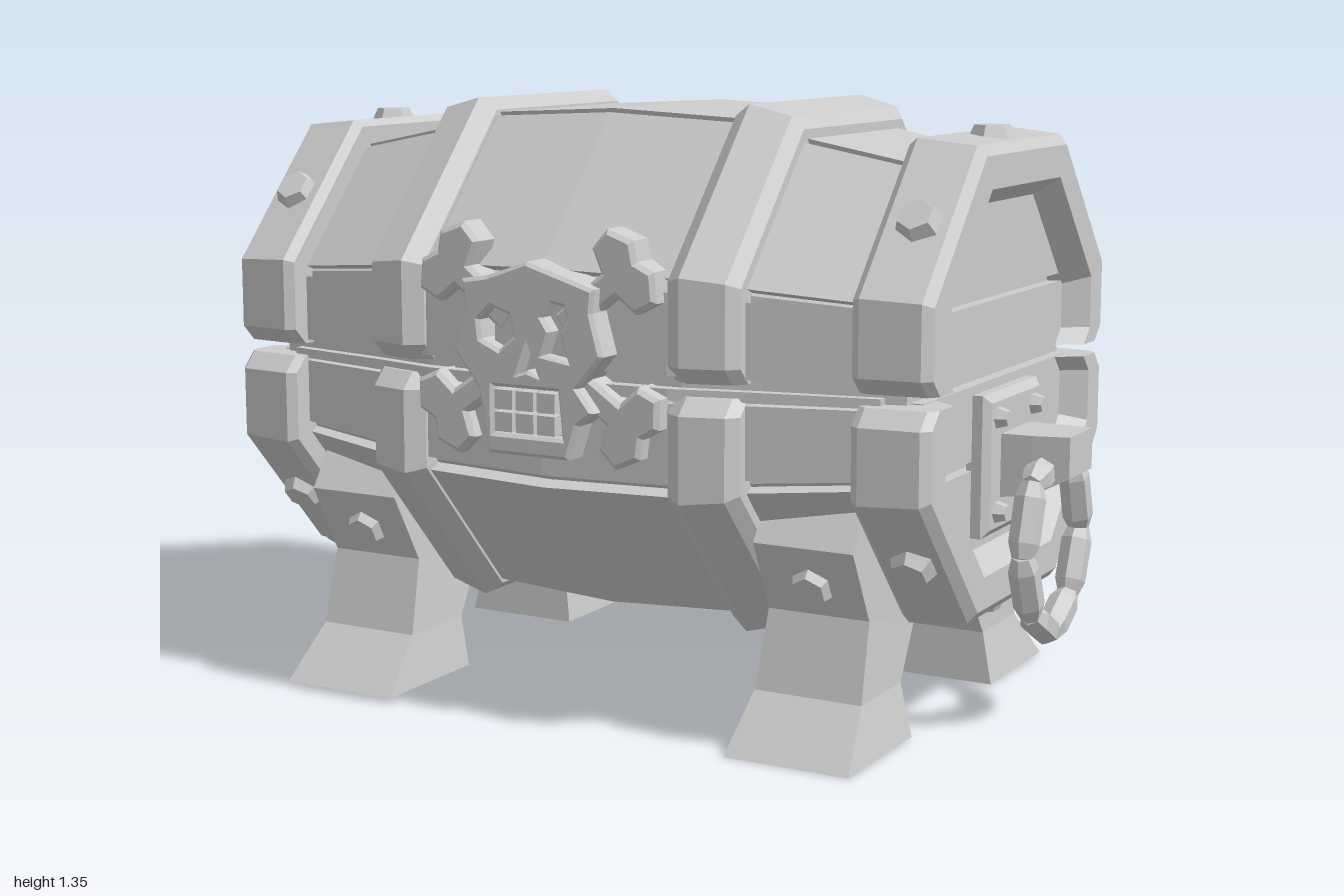
import * as THREE from 'three';

const stone = new THREE.MeshStandardMaterial({ color: 0xcccccc, flatShading: true });
stone.name = 'plainGrey';
const YC = 0.775, ZC = -0.02; // barrel axis

// Solid skinned over a row of equal-length cross-sections, turned outward by its signed volume
function loft(sections) {
  const tris = [], n = sections[0].length;
  for (let s = 0; s < sections.length - 1; s++) {
    for (let i = 0; i < n; i++) {
      const j = (i + 1) % n, A = sections[s], B = sections[s + 1];
      tris.push([A[i], A[j], B[j]], [A[i], B[j], B[i]]);
    }
  }
  const first = sections[0], last = sections[sections.length - 1];
  for (let i = 1; i < n - 1; i++) {
    tris.push([first[0], first[i + 1], first[i]], [last[0], last[i], last[i + 1]]);
  }
  const V = (p) => new THREE.Vector3(...p);
  const volume = tris.reduce((v, [a, b, c]) => v + V(a).dot(V(b).cross(V(c))), 0);
  const flat = tris.flatMap(([a, b, c]) => (volume < 0 ? [a, c, b] : [a, b, c])).flat();
  const g = new THREE.BufferGeometry();
  g.setAttribute('position', new THREE.Float32BufferAttribute(flat, 3));
  g.computeVertexNormals();
  return g;
}

// Octagon of apothem 1 as [z, y], starting at the lower front corner
const F = 0.487, W = 1.026, H = 0.409;
const OCT = [[W, -H], [W, H], [F, 1], [-F, 1], [-W, H], [-W, -H], [-F, -1], [F, -1]];
const halfWidth = (y, a) => (Math.abs(y) < H * a ? W * a
  : THREE.MathUtils.mapLinear(Math.abs(y), H * a, a, W * a, F * a));

export function createModel() {
  const root = new THREE.Group();
  root.name = 'barrelChest';
  const barrel = new THREE.Group();
  barrel.name = 'barrel';
  barrel.position.set(0, YC, ZC);
  root.add(barrel);

  const add = (name, geo, parent = barrel) => {
    const m = new THREE.Mesh(geo, stone);
    m.name = name;
    parent.add(m);
    return m;
  };
  const box = (name, w, h, d, x, y, z, parent) => {
    const m = add(name, new THREE.BoxGeometry(w, h, d), parent);
    m.position.set(x, y, z);
    return m;
  };
  const bolt = (name, pos, normal, r = 0.06, h = 0.045) => {
    const m = add(name, new THREE.CylinderGeometry(r * 0.65, r, h, 6));
    m.position.set(...pos);
    m.quaternion.setFromUnitVectors(new THREE.Vector3(0, 1, 0), new THREE.Vector3(...normal).normalize());
  };

  // Bulging core and raised staves
  const bulge = [[-0.74, 0.45], [-0.46, 0.505], [-0.3, 0.545], [0, 0.56], [0.3, 0.545], [0.46, 0.505], [0.74, 0.45]];
  add('core', loft(bulge.map(([x, r]) => OCT.map(([z, y]) => [x * 1.06, y * (r - 0.03), z * (r - 0.03)]))));
  for (let i = 0; i < 8; i++) {
    const a = OCT[i], b = OCT[(i + 1) % 8];
    const at = (f) => [a[0] + (b[0] - a[0]) * f, a[1] + (b[1] - a[1]) * f];
    let spans = [[0.02, 0.975]];
    if (i === 0) spans = [[0.05, 0.43], [0.445, 0.5], [0.56, 0.95]];
    if (i === 4) spans = [[0.05, 0.44], [0.5, 0.555], [0.57, 0.95]];
    for (const [f0, f1] of spans) {
      add('stave', loft(bulge.map(([x, r]) => [[f0, r], [f1, r], [f1, r - 0.05], [f0, r - 0.05]]
        .map(([f, k]) => [x, at(f)[1] * k, at(f)[0] * k]))));
    }
  }

  // Half hoops for lid and base, chamfered where they meet
  function hoop(name, profile, side) {
    for (const up of [1, -1]) {
      const row = (z, y, shrink, fixedY) => profile.map(([x, r]) =>
        [side * x, up * (fixedY ?? y * r), z * (r - shrink)]);
      add(name + (up > 0 ? 'Upper' : 'Lower'), loft([
        row(W, 0, 0.035, 0.014), row(W, 0, 0, 0.05),
        ...[[W, H], [F, 1], [-F, 1], [-W, H]].map(([z, y]) => row(z, y, 0)),
        row(-W, 0, 0, 0.05), row(-W, 0, 0.035, 0.014),
      ]));
    }
  }

  for (const s of [1, -1]) {
    hoop('middleHoop', [[0.3, 0.49], [0.305, 0.55], [0.345, 0.577], [0.44, 0.553], [0.462, 0.525], [0.462, 0.46]], s);
    hoop('endHoop', [[0.7, 0.38], [0.7, 0.5], [0.72, 0.515], [0.85, 0.502], [0.868, 0.48], [0.868, 0.41], [0.795, 0.36]], s);

    // End boards
    for (const [y0, y1] of [[-0.4, -0.195], [-0.175, -0.012], [0.012, 0.16], [0.178, 0.4]]) {
      add('endBoard', loft([0.74, 0.812].map((x) => [[y0, -1], [y0, 1], [y1, 1], [y1, -1]]
        .map(([y, k]) => [s * x, y, k * halfWidth(y, 0.4)]))));
    }

    // Hoop bolts
    for (const u of [1, -1]) {
      bolt('hoopBolt', [s * 0.785, u * 0.51, 0], [0, u, 0]);
      for (const k of [1, -1]) bolt('hoopBolt', [s * 0.785, u * 0.357, k * 0.39], [0, u * 0.674, k * 0.739]);
    }

    // Splayed legs with a bolt each
    for (const k of [1, -1]) {
      const levels = [ // outer y, z; inner y, z; x range
        [0, 0.548, 0, 0.228, 0.43, 0.72], [0.12, 0.435, 0.12, 0.235, 0.445, 0.695],
        [0.29, 0.39, 0.25, 0.15, 0.455, 0.69], [0.45, 0.475, 0.56, 0.4, 0.46, 0.69],
      ];
      add('leg', loft(levels.map(([yo, zo, yi, zi, x0, x1]) => [
        [s * x0, yo - YC, k * zo], [s * x1, yo - YC, k * zo],
        [s * x1, yi - YC, k * zi], [s * x0, yi - YC, k * zi]])));
      bolt('legBolt', [s * 0.575, 0.36 - YC, k * 0.425], [0, -0.45, k * 0.85], 0.058);
    }

    // Handle: plate, bolts, bracket and a ring of chunky links
    const py = 0.588 - YC, pz = -0.01;
    const rect = (x, y, hw, hh) => [[-1, -1], [1, -1], [1, 1], [-1, 1]].map(([a, b]) => [s * x, y + b * hh, pz + a * hw]);
    add('handlePlate', loft([rect(0.8, py, 0.157, 0.155), rect(0.835, py, 0.157, 0.155), rect(0.85, py, 0.14, 0.138)]));
    for (const a of [1, -1]) {
      for (const b of [1, -1]) bolt('plateBolt', [s * 0.86, py + b * 0.103, pz + a * 0.103], [s, 0, 0], 0.027, 0.03);
    }
    add('handleBracket', loft([rect(0.84, py - 0.005, 0.085, 0.07), rect(0.92, py, 0.08, 0.065), rect(1, py + 0.022, 0.07, 0.045)]));
    const path = [[0.04, 0.585], [0.12, 0.56], [0.17, 0.41], [0.11, 0.27], [-0.005, 0.205],
      [-0.12, 0.27], [-0.18, 0.41], [-0.13, 0.56], [-0.05, 0.585]];
    for (let i = 0; i < path.length - 1; i++) {
      const a = new THREE.Vector3(s * 0.94, path[i][1] - YC, path[i][0]);
      const b = new THREE.Vector3(s * 0.94, path[i + 1][1] - YC, path[i + 1][0]);
      const d = b.clone().sub(a), L = d.length();
      const profile = [[0, -L / 2 - 0.008], [0.022, -L / 2 - 0.004], [0.034, -L / 2 + 0.03],
        [0.034, L / 2 - 0.03], [0.022, L / 2 + 0.004], [0, L / 2 + 0.008]];
      const m = add('handleLink', new THREE.LatheGeometry(profile.map((p) => new THREE.Vector2(...p)), 6));
      m.position.copy(a).lerp(b, 0.5);
      m.quaternion.setFromUnitVectors(new THREE.Vector3(0, 1, 0), d.normalize());
    }

    // Hinge knuckles at the back
    const hinge = (x, h, d) => [[-h, -0.54], [h, -0.54], [h, -d + 0.015], [h * 0.6, -d], [-h * 0.6, -d], [-h, -d + 0.015]]
      .map(([y, z]) => [s * x, y + 0.01, z]);
    add('hingeKnuckle', loft([hinge(0.035, 0.035, 0.6), hinge(0.055, 0.05, 0.612), hinge(0.15, 0.05, 0.612), hinge(0.175, 0.035, 0.6)]));
  }
  box('hingePin', 0.1, 0.04, 0.05, 0, 0.01, -0.57);

  // Lock plate: skull with eye, keyhole and nose openings over crossed bones
  const lock = new THREE.Group();
  lock.name = 'lockPlate';
  root.add(lock);
  const path2 = (pts, C = THREE.Path) => new C(pts.map((p) => new THREE.Vector2(...p)));
  const extrude = (shape, depth, bevel) => new THREE.ExtrudeGeometry(shape, {
    depth, bevelEnabled: bevel > 0, bevelThickness: bevel, bevelSize: bevel, bevelOffset: -bevel, bevelSegments: 1 });
  const skull = path2([[0, 1.03], [-0.1, 0.995], [-0.165, 0.985], [-0.155, 0.93], [-0.185, 0.83], [-0.125, 0.755], [-0.1, 0.615],
    [0.1, 0.615], [0.125, 0.69], [0.165, 0.72], [0.125, 0.77], [0.185, 0.84], [0.16, 0.93], [0.165, 0.98], [0.1, 1]], THREE.Shape);
  skull.holes.push(
    path2([[-0.12, 0.9], [-0.09, 0.93], [-0.045, 0.915], [-0.035, 0.87], [-0.07, 0.84], [-0.115, 0.86]]),
    path2([[0.04, 0.915], [0.06, 0.945], [0.09, 0.94], [0.1, 0.91], [0.08, 0.885], [0.1, 0.825], [0.04, 0.835], [0.06, 0.885]]),
    path2([[0, 0.855], [0.025, 0.79], [0, 0.8], [-0.025, 0.79]]),
    path2([[-0.085, 0.76], [0.075, 0.76], [0.085, 0.66], [-0.085, 0.66]]));
  add('skull', extrude(skull, 0.08, 0.008), lock).position.z = 0.522;
  box('skullBacking', 0.2, 0.33, 0.06, 0, 0.8, 0.545, lock);
  for (const x of [-0.053, 0, 0.053]) {
    for (const y of [0.735, 0.687]) box('tooth', 0.044, 0.042, 0.06, x, y, 0.588, lock);
  }
  const bone = path2([[0.08, -0.03], [0.23, -0.03], [0.245, -0.085], [0.3, -0.095], [0.335, -0.04], [0.315, 0],
    [0.335, 0.04], [0.3, 0.095], [0.245, 0.085], [0.23, 0.03], [0.08, 0.03]], THREE.Shape);
  for (const angle of [38, 142, -34, 214]) {
    const m = add('crossedBone', extrude(bone, 0.06, 0.01), lock);
    m.position.set(0, 0.845, 0.51);
    m.rotation.z = THREE.MathUtils.degToRad(angle);
  }
  return root;
}
